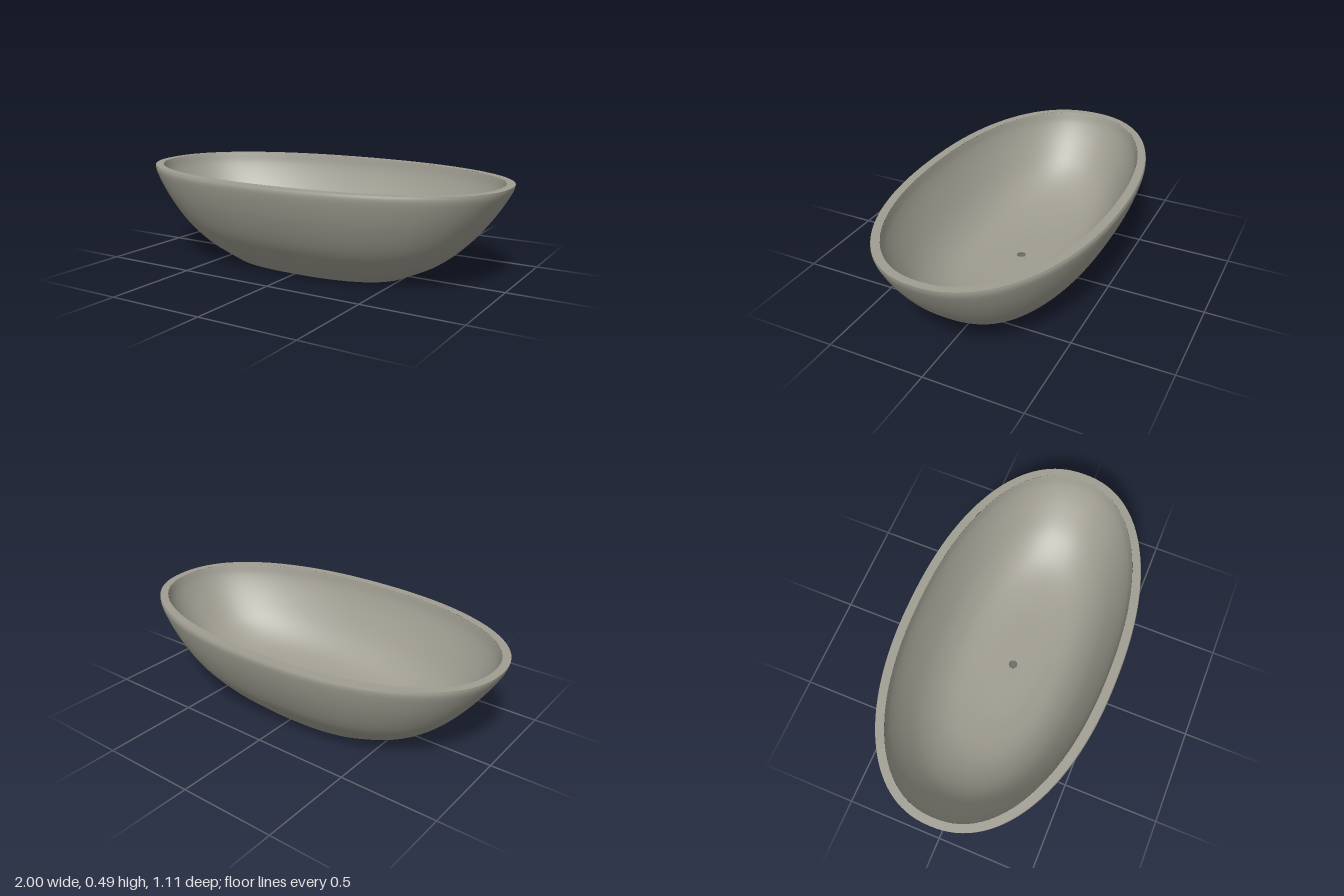
import * as THREE from 'three';

const SEGMENTS = 128;

// Rows are [half length, half width, height]; a smooth curve refines them.
function refine(rows, steps) {
  const curve = new THREE.CatmullRomCurve3(rows.map((r) => new THREE.Vector3(...r)));
  return curve.getPoints(steps).map((p) => [p.x, p.y, p.z]);
}

// Skin a stack of rounded oval rings; squareness gives the oval's exponent per row.
function loft(rows, squareness) {
  const positions = [];
  const index = [];
  rows.forEach((row, r) => {
    const [a, b, y] = row;
    const e = 2 / squareness(row);
    for (let i = 0; i < SEGMENTS; i++) {
      const t = (i / SEGMENTS) * Math.PI * 2;
      const c = Math.cos(t), s = Math.sin(t);
      positions.push(
        a * Math.sign(c) * Math.abs(c) ** e, y,
        b * Math.sign(s) * Math.abs(s) ** e);
      if (r === rows.length - 1) continue;
      const j = (i + 1) % SEGMENTS;
      const p = r * SEGMENTS + i, q = r * SEGMENTS + j;
      index.push(p, p + SEGMENTS, q, q, p + SEGMENTS, q + SEGMENTS);
    }
  });
  const geometry = new THREE.BufferGeometry();
  geometry.setAttribute('position', new THREE.Float32BufferAttribute(positions, 3));
  geometry.setIndex(index);
  geometry.computeVertexNormals();
  return geometry;
}

export function createModel() {
  const stone = new THREE.MeshStandardMaterial({ color: 0xa09e92 });
  stone.name = 'warm grey stone';
  const metal = new THREE.MeshStandardMaterial({ color: 0x6c6b66 });
  metal.name = 'drain grey';

  const group = new THREE.Group();
  group.name = 'basin';
  const add = (name, geometry, material) => {
    const mesh = new THREE.Mesh(geometry, material);
    mesh.name = name;
    group.add(mesh);
    return mesh;
  };

  const outerSquare = ([, , y]) => 2.45 - 0.5 * y;
  const innerSquare = ([a]) => 2 + 0.2 * Math.min(1, a / 0.6);

  // Flat foot
  add('base', loft([[0, 0, 0], [0.5, 0.26, 0]], () => 2.45), stone);

  // Flaring outer wall
  const wall = [
    [0.5, 0.26, 0], [0.67, 0.35, 0.085], [0.8, 0.44, 0.195],
    [0.915, 0.512, 0.335], [0.987, 0.55, 0.45], [0.997, 0.553, 0.475], [1, 0.549, 0.49],
  ];
  add('outerWall', loft(refine(wall, 40), outerSquare), stone);

  // Flat rim between the outer and inner edges
  add('rim', loft([[1, 0.549, 0.49], [0.96, 0.505, 0.49]], () => 2.205), stone);

  // Hollow, rounding softly into the floor
  const hollow = [
    [0.96, 0.505, 0.49], [0.94, 0.495, 0.43], [0.875, 0.455, 0.32],
    [0.76, 0.385, 0.19], [0.6, 0.295, 0.1], [0.38, 0.18, 0.06], [0.022, 0.022, 0.05],
  ];
  add('interior', loft(refine(hollow, 44), innerSquare), stone);

  // Drain at the lowest point: a small ring around a sunken disc
  const ring = add('drainRing', new THREE.TorusGeometry(0.02, 0.003, 8, 32), metal);
  ring.rotation.x = Math.PI / 2;
  ring.position.y = 0.05;
  const plug = add('drainPlug', new THREE.CylinderGeometry(0.022, 0.022, 0.008, 32), metal);
  plug.position.y = 0.044;

  return group;
}
